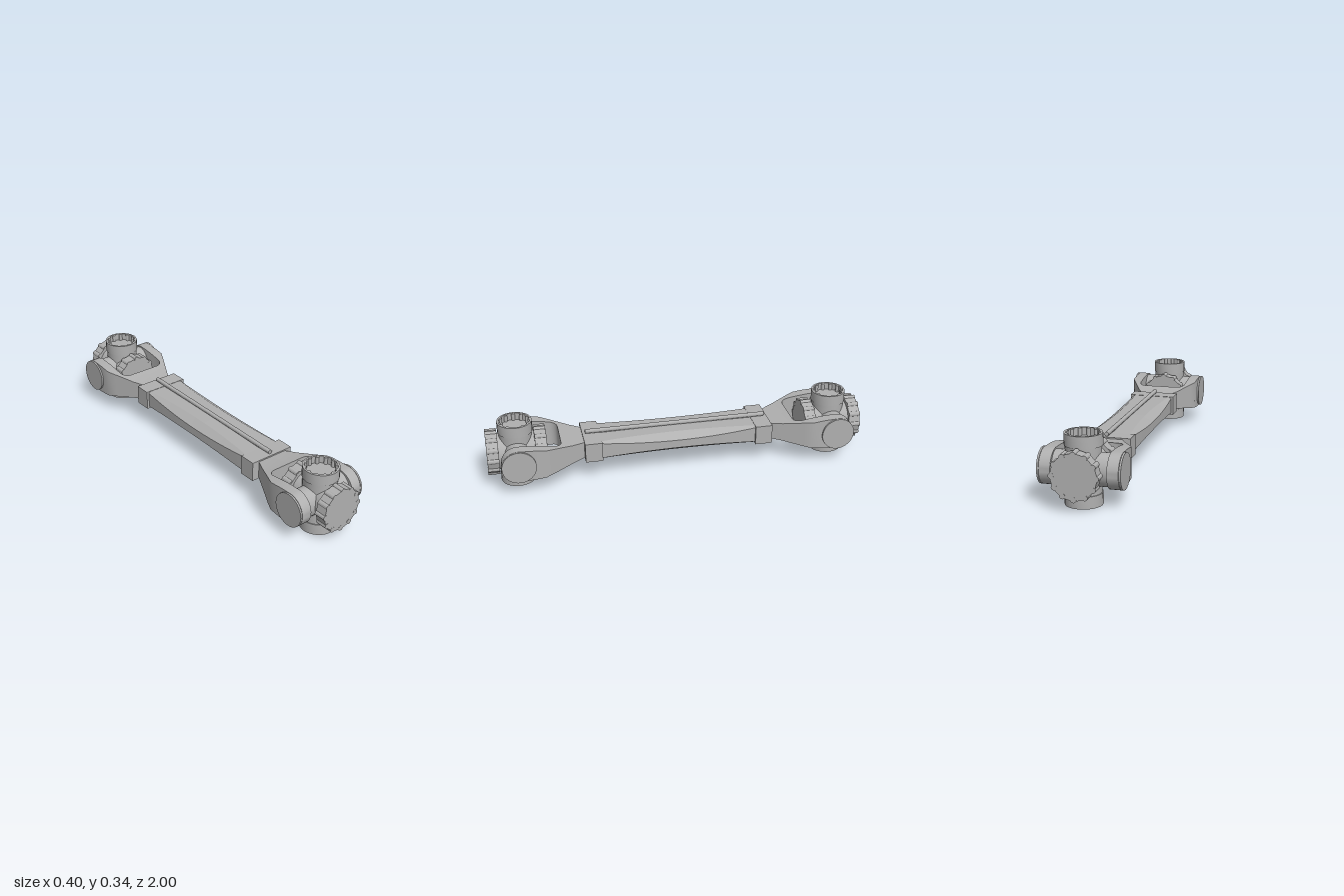
import * as THREE from 'three';
import { toCreasedNormals } from 'three/addons/utils/BufferGeometryUtils.js';

const AXIS_Y = 0.17;   // height of the shaft axis
const JOINT_Z = 0.845; // distance of each joint from the middle

export function createModel() {
  const steel = new THREE.MeshStandardMaterial({ color: 0xb0b0b0 });
  steel.name = 'steel grey';

  const add = (parent, name, geometry, crease = 0.5) => {
    const mesh = new THREE.Mesh(toCreasedNormals(geometry, crease), steel);
    mesh.name = name;
    parent.add(mesh);
    return mesh;
  };

  // Joins convex counter-clockwise [x, y] sections along +z and closes both ends.
  const loft = (sections) => {
    const n = sections[0].pts.length, pos = [], idx = [];
    sections.forEach(s => s.pts.forEach(([x, y]) => pos.push(x, y, s.z)));
    for (let s = 0; s < sections.length - 1; s++) {
      for (let i = 0; i < n; i++) {
        const a = s * n + i, b = s * n + (i + 1) % n;
        idx.push(a, b, b + n, a, b + n, a + n);
      }
    }
    const last = (sections.length - 1) * n;
    for (let i = 1; i < n - 1; i++) {
      idx.push(0, i + 1, i, last, last + i, last + i + 1);
    }
    const g = new THREE.BufferGeometry();
    g.setAttribute('position', new THREE.Float32BufferAttribute(pos, 3));
    g.setIndex(idx);
    return g;
  };

  // Half of the yoke, from the shaft end (z 0.5) to the rounded tip around the pin.
  const yokeArm = () => {
    const rows = [[0.49, 0, 0.08, 0.044], [0.56, 0, 0.116, 0.051], [0.62, 0, 0.145, 0.062]];
    for (let i = 0; i <= 5; i++) { // rounded inner corner
      const a = (i / 5) * Math.PI / 2;
      const z = 0.665 - 0.045 * Math.cos(a);
      rows.push([z, 0.09 + 0.043 * Math.sin(a),
        0.145 + 0.04 * (z - 0.62) / 0.08, 0.062 + 0.014 * (z - 0.62) / 0.08]);
    }
    rows.push([0.71, 0.133, 0.188, 0.077], [0.77, 0.133, 0.188, 0.084]);
    for (let i = 0; i <= 8; i++) { // rounded tip
      const a = Math.PI / 2 * (1 - i / 8.6);
      rows.push([JOINT_Z + 0.0875 * Math.cos(a), 0.133, 0.188, 0.0875 * Math.sin(a)]);
    }
    return loft(rows.map(([z, xi, xo, h]) =>
      ({ z, pts: [[xi, -h], [xo, -h], [xo, h], [xi, h]] })));
  };

  // Twelve small rollers in a ring around the local y axis.
  const rollers = (parent, ringRadius, radius, height, y) => {
    for (let i = 0; i < 12; i++) {
      const a = i * Math.PI / 6;
      const g = new THREE.CylinderGeometry(radius, radius, height, 12);
      g.translate(ringRadius * Math.sin(a), y, ringRadius * Math.cos(a));
      add(parent, 'roller', g);
    }
  };

  // Solid bearing hub with rollers set into its rim, pointing along local +y.
  const hub = () => {
    const g = new THREE.Group();
    g.name = 'bearingHub';
    add(g, 'hubNeck', new THREE.CylinderGeometry(0.094, 0.084, 0.1, 32).translate(0, 0.05, 0));
    add(g, 'hubDrum', new THREE.CylinderGeometry(0.113, 0.113, 0.06, 12).translate(0, 0.124, 0), 0.3);
    rollers(g, 0.105, 0.014, 0.06, 0.125);
    return g;
  };

  // Open bearing cup with rollers inside, pointing along local +y.
  const cup = () => {
    const g = new THREE.Group();
    g.name = 'bearingCup';
    add(g, 'cupNeck', new THREE.CylinderGeometry(0.086, 0.083, 0.132, 32).translate(0, 0.066, 0));
    const wall = [[0.08, 0.112], [0.09, 0.112], [0.09, 0.17], [0.08, 0.17], [0.08, 0.112]];
    add(g, 'cupWall', new THREE.LatheGeometry(wall.map(p => new THREE.Vector2(...p)), 24));
    rollers(g, 0.079, 0.0095, 0.054, 0.142);
    return g;
  };

  const model = new THREE.Group();
  model.name = 'driveShaft';

  // Both ends are the same assembly, turned half round.
  for (const turn of [0, Math.PI]) {
    const end = new THREE.Group();
    end.name = turn ? 'rearJoint' : 'frontJoint';
    end.position.y = AXIS_Y;
    end.rotation.y = turn;
    model.add(end);

    // Collar and yoke
    add(end, 'collar', new THREE.BoxGeometry(0.25, 0.104, 0.09).translate(0, 0, 0.455));
    add(end, 'yokeArmLeft', yokeArm());
    add(end, 'yokeArmRight', yokeArm()).rotation.z = Math.PI;

    // Cross with hubs along z and cups along y
    const cross = new THREE.Group();
    cross.name = 'cross';
    cross.position.z = JOINT_Z;
    end.add(cross);
    add(cross, 'crossCentre', new THREE.SphereGeometry(0.1, 32, 20));
    for (const s of [1, -1]) {
      const h = hub();
      h.rotation.x = s * Math.PI / 2;
      cross.add(h);
      const c = cup();
      if (s < 0) c.rotation.x = Math.PI;
      cross.add(c);

      // Pin through the yoke and its end cap
      const pin = new THREE.CylinderGeometry(0.08, 0.08, 0.14, 32).rotateZ(Math.PI / 2);
      add(cross, 'pin', pin.scale(1, 1, 0.85).translate(s * 0.12, 0, 0));
      const cap = new THREE.CylinderGeometry(0.0875, 0.0875, 0.009, 40).rotateZ(Math.PI / 2);
      add(cross, 'pinCap', cap.translate(s * 0.1945, 0, 0));
    }
  }

  // Shaft body: bevelled bar that swells gently in the middle
  const sections = [];
  for (let i = 0; i <= 16; i++) {
    const t = i / 8 - 1, swell = 1 - t * t;
    const w = 0.111 + 0.012 * swell, h = 0.05 + 0.003 * swell;
    const side = 0.044 - 0.022 * swell, top = w - 0.01 - 0.035 * swell;
    sections.push({ z: t * 0.43, pts: [[top, -h], [w, -side], [w, side], [top, h],
      [-top, h], [-w, side], [-w, -side], [-top, -h]] });
  }
  add(model, 'shaftBody', loft(sections), 0.35).position.y = AXIS_Y;

  // Rods along the top and bottom of the shaft
  for (const s of [1, -1]) {
    const rod = new THREE.CylinderGeometry(0.011, 0.011, 0.97, 16).rotateX(Math.PI / 2);
    add(model, s > 0 ? 'topRod' : 'bottomRod', rod.translate(0, AXIS_Y + s * 0.063, 0));
    add(model, 'rodSeat', new THREE.BoxGeometry(0.012, 0.02, 0.96).translate(0, AXIS_Y + s * 0.05, 0));
  }

  return model;
}
